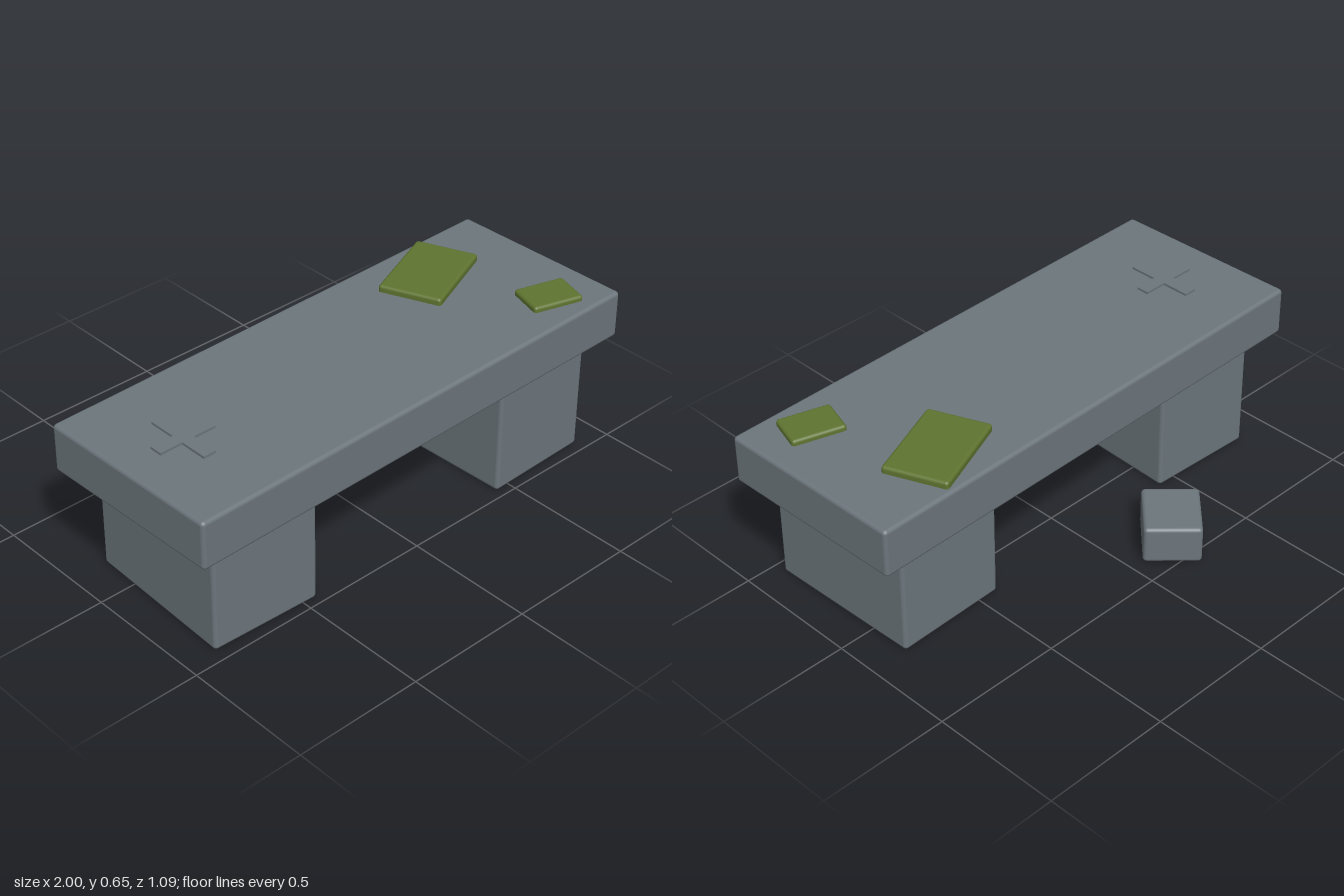
import * as THREE from 'three';
import { RoundedBoxGeometry } from 'three/addons/geometries/RoundedBoxGeometry.js';

export function createModel() {
  const model = new THREE.Group();
  model.name = 'stoneBench';
  const stone = new THREE.MeshStandardMaterial({ name: 'stone', color: 0x6c767c });
  const moss = new THREE.MeshStandardMaterial({ name: 'moss', color: 0x5f7430 });

  // Rounded block standing on height y, turned about the vertical axis
  function block(name, material, [w, h, d], [x, y, z], turn, radius) {
    const mesh = new THREE.Mesh(new RoundedBoxGeometry(w, h, d, 3, radius), material);
    mesh.name = name;
    mesh.position.set(x, y + h / 2, z);
    mesh.rotation.y = turn;
    model.add(mesh);
  }

  // Seat slab and its two slightly skewed supports
  block('seatSlab', stone, [1.985, 0.187, 0.747], [0, 0.44, 0.148], 0.02, 0.015);
  block('rightSupport', stone, [0.436, 0.44, 0.62], [-0.65, 0, 0.152], -0.04, 0.015);
  block('leftSupport', stone, [0.44, 0.44, 0.622], [0.646, 0, 0.152], 0.03, 0.015);

  // Fallen chunk behind the bench
  block('fallenChunk', stone, [0.245, 0.147, 0.21], [-0.21, 0, -0.395], 0.79, 0.015);

  // Moss patches, partly sunk into the slab
  block('largeMossPatch', moss, [0.36, 0.04, 0.243], [0.572, 0.613, -0.042], 0.394, 0.012);
  block('smallMossPatch', moss, [0.2, 0.035, 0.148], [0.78, 0.613, 0.355], -0.29, 0.012);

  // Raised cross relief on the slab
  const a = 0.115, b = 0.133, t = 0.025;
  const outline = [[-t, -b], [t, -b], [t, -t], [a, -t], [a, t], [t, t],
    [t, b], [-t, b], [-t, t], [-a, t], [-a, -t], [-t, -t]];
  const shape = new THREE.Shape(outline.map(([x, y]) => new THREE.Vector2(x, y)));
  const geometry = new THREE.ExtrudeGeometry(shape, { depth: 0.012, bevelEnabled: false });
  geometry.rotateX(-Math.PI / 2);
  const cross = new THREE.Mesh(geometry, stone);
  cross.name = 'crossRelief';
  cross.position.set(-0.735, 0.624, 0.148);
  model.add(cross);

  return model;
}
